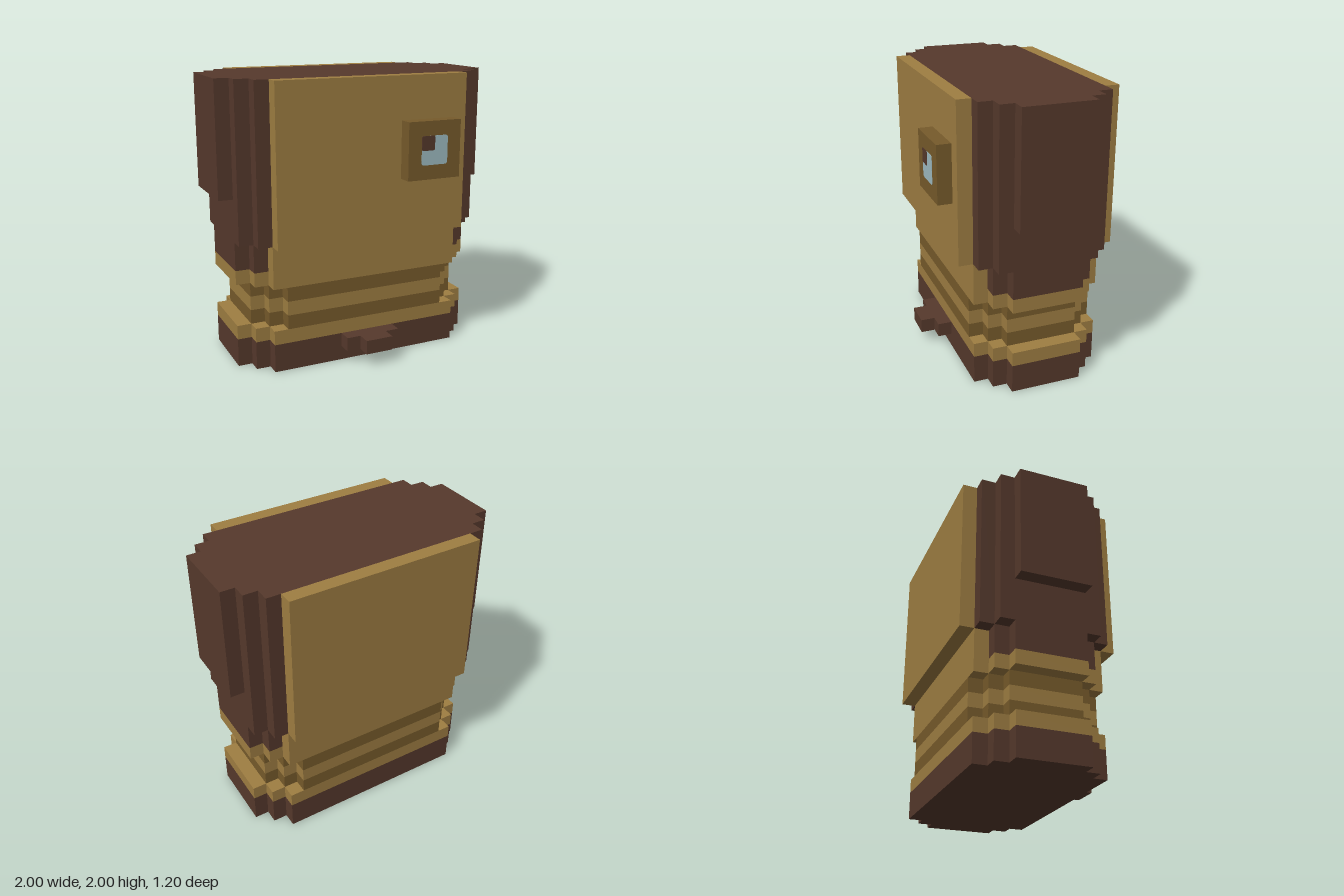
import * as THREE from 'three';

const MID_Z = -0.05; // the body sits slightly behind the origin

function material(name, color) {
  const m = new THREE.MeshStandardMaterial({ color });
  m.name = name;
  return m;
}

export function createModel() {
  const tan = material('tan', 0x9f7e42);
  const olive = material('olive', 0x775b2b);
  const brown = material('brown', 0x56392c);
  const blue = material('pale blue', 0x9fbcc2);

  const model = new THREE.Group();
  model.name = 'blockyBody';

  function add(name, geometry, mat) {
    const mesh = new THREE.Mesh(geometry, mat);
    mesh.name = name;
    model.add(mesh);
    return mesh;
  }

  function box(name, mat, x0, x1, y0, y1, z0, z1) {
    const g = new THREE.BoxGeometry(x1 - x0, y1 - y0, z1 - z0);
    g.translate((x0 + x1) / 2, (y0 + y1) / 2, (z0 + z1) / 2);
    return add(name, g, mat);
  }

  // Slab with staircase corners; steps run [half width, half depth] from deepest to widest
  function tier(name, mat, y0, y1, steps) {
    const quarter = [];
    steps.forEach(([w, d], i) => {
      quarter.push([w, d]);
      if (i < steps.length - 1) quarter.push([w, steps[i + 1][1]]);
    });
    const back = [...quarter].reverse();
    const outline = [
      ...back.map(([x, y]) => [x, -y]).reverse(),
      ...back,
      ...quarter.map(([x, y]) => [-x, y]),
      ...back.map(([x, y]) => [-x, -y]),
    ].map(([x, y]) => new THREE.Vector2(x, y));
    const g = new THREE.ExtrudeGeometry(new THREE.Shape(outline), { depth: y1 - y0, bevelEnabled: false });
    g.rotateX(-Math.PI / 2);
    g.translate(0, y0, MID_Z);
    return add(name, g, mat);
  }

  // Thin rounded plate facing forward
  function plate(name, mat, x0, y0, size, r, z, thick) {
    const x1 = x0 + size, y1 = y0 + size;
    const s = new THREE.Shape();
    s.moveTo(x0 + r, y0);
    s.lineTo(x1 - r, y0);
    s.quadraticCurveTo(x1, y0, x1, y0 + r);
    s.lineTo(x1, y1 - r);
    s.quadraticCurveTo(x1, y1, x1 - r, y1);
    s.lineTo(x0 + r, y1);
    s.quadraticCurveTo(x0, y1, x0, y1 - r);
    s.lineTo(x0, y0 + r);
    s.quadraticCurveTo(x0, y0, x0 + r, y0);
    const g = new THREE.ExtrudeGeometry(s, { depth: thick, bevelEnabled: false, curveSegments: 4 });
    g.translate(0, 0, z);
    return add(name, g, mat);
  }

  // Base and striped waist
  const wide = [[0.7, 0.45], [0.8, 0.35], [0.9, 0.25]];
  const narrow = [[0.6, 0.45], [0.7, 0.35], [0.8, 0.25]];
  tier('base', brown, 0, 0.2, wide);
  tier('baseRim', tan, 0.2, 0.3, wide);
  tier('waistLowerStripe', olive, 0.3, 0.4, narrow);
  tier('waistMiddle', tan, 0.4, 0.5, narrow);
  tier('waistUpperStripe', olive, 0.5, 0.6, narrow);
  tier('waistRim', tan, 0.6, 0.7, wide);

  // Brown core: neck, then the larger upper body
  tier('neckCore', brown, 0.7, 0.9, [[0.8, 0.35], [0.9, 0.25]]);
  tier('upperCore', brown, 0.9, 2, [[0.8, 0.45], [0.9, 0.35]]);

  // Tan panels on front and back
  box('frontNeckPanel', tan, -0.7, 0.7, 0.7, 0.9, 0.3, 0.4);
  box('backNeckPanel', tan, -0.7, 0.7, 0.7, 0.9, -0.5, -0.4);
  box('frontPanel', tan, -0.7, 0.7, 0.9, 2, 0.4, 0.5);
  box('backPanel', tan, -0.7, 0.7, 0.9, 2, -0.6, -0.5);

  // Raised side pads
  box('leftSidePad', brown, 0.9, 1, 1.2, 2, -0.3, 0.2);
  box('rightSidePad', brown, -1, -0.9, 1.2, 2, -0.3, 0.2);

  // Eye block with lens and pupil
  box('eyeBlock', olive, 0.2, 0.6, 1.3, 1.7, 0.5, 0.6);
  plate('eyeLens', blue, 0.3, 1.4, 0.2, 0.02, 0.598, 0.004);
  plate('eyePupil', brown, 0.3, 1.5, 0.1, 0.012, 0.599, 0.005);

  // Stepped latch at the foot of the front
  box('latchBack', brown, -0.2, 0.2, 0.1, 0.2, 0.4, 0.5);
  box('latchFront', brown, -0.1, 0.1, 0.1, 0.2, 0.5, 0.6);

  return model;
}
